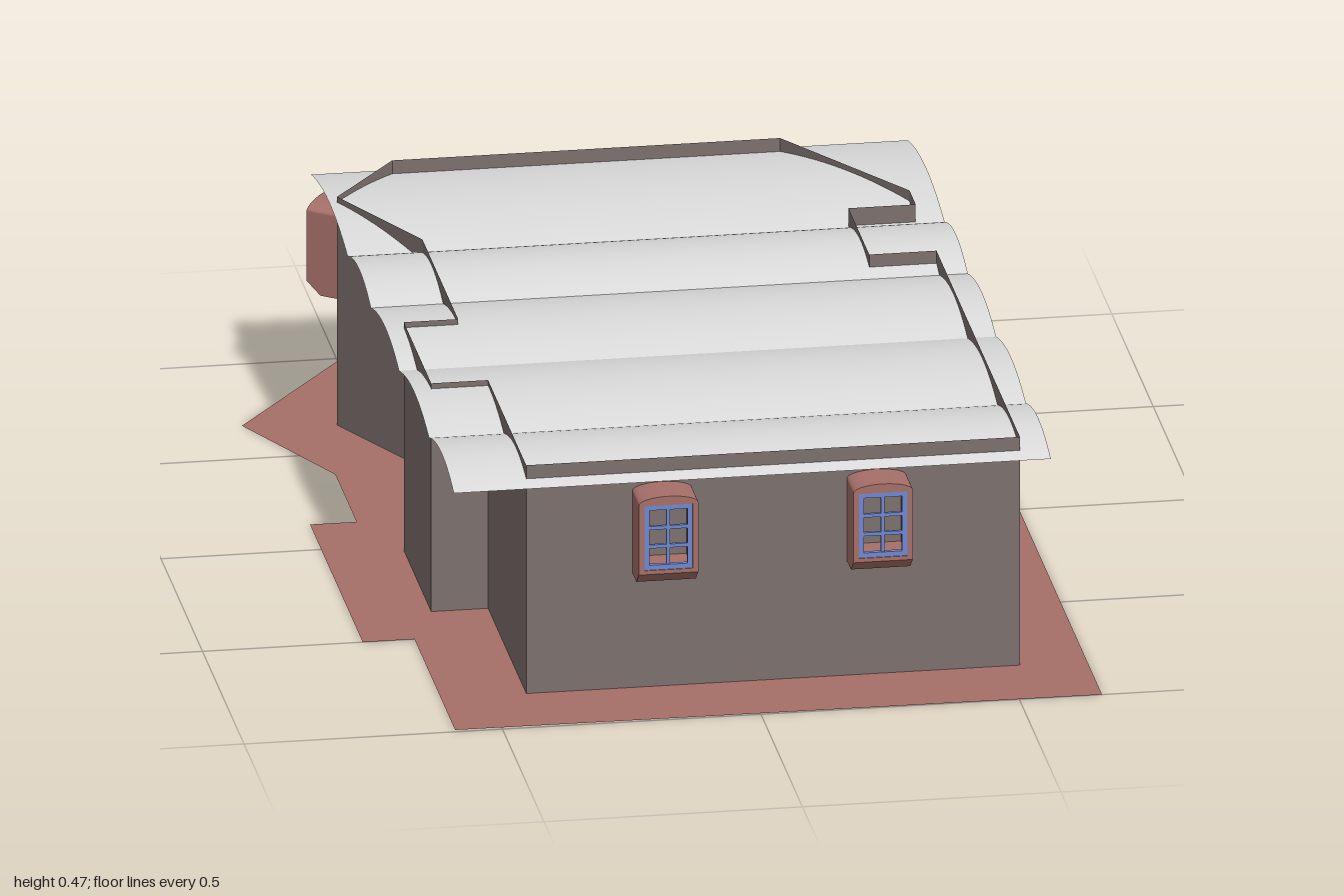
import * as THREE from 'three';

const flat = (color) => new THREE.MeshStandardMaterial({ color, side: THREE.DoubleSide });

export function createModel() {
  const root = new THREE.Group();
  root.name = 'vaultedHouse';

  const wallMat = flat(0x7d716e); wallMat.name = 'grey brown plaster';
  const brickMat = flat(0xa66f68); brickMat.name = 'brick red';
  const roofMat = flat(0xdadada); roofMat.name = 'pale roof';
  const doorMat = flat(0x70502f); doorMat.name = 'brown wood';
  const blueMat = flat(0x7088d0); blueMat.name = 'blue window frame';

  const add = (parent, name, geometry, material, x = 0, y = 0, z = 0) => {
    const mesh = new THREE.Mesh(geometry, material);
    mesh.name = name;
    mesh.position.set(x, y, z);
    parent.add(mesh);
    return mesh;
  };
  const polygon = (pts) => new THREE.Shape(pts.map(([x, y]) => new THREE.Vector2(x, y)));
  const extrude = (shape, depth) =>
    new THREE.ExtrudeGeometry(shape, { depth, bevelEnabled: false, curveSegments: 16 });

  // Upright outline with a curved top
  const archShape = (width, bottom, spring, top) => {
    const s = new THREE.Shape();
    s.moveTo(-width / 2, bottom);
    s.lineTo(width / 2, bottom);
    s.lineTo(width / 2, spring);
    s.absellipse(0, spring, width / 2, top - spring, 0, Math.PI, false, 0);
    s.closePath();
    return s;
  };

  // Group on a wall whose local +z points along the outward normal
  const onWall = (name, x, z, nx, nz) => {
    const g = new THREE.Group();
    g.name = name;
    g.position.set(x, 0, z);
    g.rotation.y = Math.atan2(nx, nz);
    root.add(g);
    return g;
  };

  // Ground slab, a flat sheet; shape y becomes -z
  const ground = new THREE.ShapeGeometry(polygon([
    [-0.59, 0.99], [0.66, 1], [0.66, -0.23], [0.53, -0.23], [0.53, -0.42], [0.62, -0.42],
    [0.73, -0.54], [0.43, -1], [-0.49, -1], [-0.735, -0.675], [-0.6, -0.39],
    [-0.6, -0.135], [-0.69, -0.135], [-0.69, 0.5], [-0.59, 0.5],
  ].map(([x, z]) => [x, -z])));
  ground.rotateX(-Math.PI / 2);
  add(root, 'groundSlab', ground, brickMat);

  // Thin walls, one panel for each side of the plan
  const wallHeight = 0.467;
  const plan = [
    [-0.425, 0.82], [0.53, 0.82], [0.53, -0.185], [0.4, -0.185], [0.4, -0.435],
    [0.53, -0.435], [0.53, -0.51], [0.33, -0.825], [-0.42, -0.825], [-0.555, -0.65],
    [-0.43, -0.4], [-0.43, 0.03], [-0.535, 0.03], [-0.535, 0.36], [-0.425, 0.36],
  ];
  const walls = new THREE.Group();
  walls.name = 'walls';
  root.add(walls);
  plan.forEach(([x0, z0], i) => {
    const [x1, z1] = plan[(i + 1) % plan.length];
    const panel = new THREE.PlaneGeometry(Math.hypot(x1 - x0, z1 - z0), wallHeight);
    const wall = add(walls, 'wallPanel', panel, wallMat, (x0 + x1) / 2, wallHeight / 2, (z0 + z1) / 2);
    wall.rotation.y = Math.atan2(-(z1 - z0), x1 - x0);
  });

  // Row of shallow roof vaults
  const roof = new THREE.Group();
  roof.name = 'roof';
  root.add(roof);
  const valleys = [-0.87, -0.43, -0.15, 0.19, 0.55, 0.85];
  for (let i = 0; i < valleys.length - 1; i++) {
    const span = valleys[i + 1] - valleys[i];
    const vault = new THREE.PlaneGeometry(1.155, span, 1, 20);
    vault.rotateX(-Math.PI / 2);
    const p = vault.attributes.position;
    for (let k = 0; k < p.count; k++) {
      const t = (2 * p.getZ(k)) / span;
      p.setY(k, 0.026 * (1 - t * t));
    }
    vault.computeVertexNormals();
    add(roof, 'roofVault', vault, roofMat, 0.0075, 0.43, (valleys[i] + valleys[i + 1]) / 2);
  }

  // Arched doors in projecting surrounds, with a worn patch at the foot
  const addDoor = (x, z, nx, nz) => {
    const g = onWall('door', x, z, nx, nz);
    const arch = archShape(0.16, 0, 0.31, 0.345);
    add(g, 'doorSurround', extrude(arch, 0.05), brickMat);
    add(g, 'doorPanel', extrude(arch, 0.005), doorMat, 0, 0, 0.05);
    const patch = polygon([[-0.045, 0], [0.079, 0], [0.079, 0.062], [0.03, 0.062], [0, 0.05], [-0.03, 0.02]]);
    add(g, 'doorFootPatch', extrude(patch, 0.002), wallMat, 0, 0, 0.055);
  };
  addDoor(0.53, 0.14, 1, 0);
  addDoor(0.416, -0.69, 0.844, -0.536);

  // Projecting window boxes with a sloping sill and a barred blue frame
  const addWindow = (x, z, nx, nz, depth) => {
    const g = onWall('window', x, z, nx, nz);
    const width = 0.115;
    const box = archShape(width, 0.26, 0.402, 0.418);
    box.holes.push(polygon([[-0.047, 0.268], [-0.047, 0.4], [0.047, 0.4], [0.047, 0.268]]));
    add(g, 'windowBox', extrude(box, depth), brickMat);

    const sill = extrude(polygon([[0, 0.235], [depth - 0.03, 0.235], [depth, 0.26], [0, 0.26]]), width);
    sill.rotateY(-Math.PI / 2);
    add(g, 'windowSill', sill, brickMat, width / 2);

    const frame = polygon([[-0.047, 0.268], [0.047, 0.268], [0.047, 0.4], [-0.047, 0.4]]);
    frame.holes.push(polygon([[-0.037, 0.278], [-0.037, 0.39], [0.037, 0.39], [0.037, 0.278]]));
    add(g, 'windowFrame', extrude(frame, 0.009), blueMat, 0, 0, depth - 0.011);
    const barZ = depth - 0.007;
    add(g, 'uprightBar', new THREE.BoxGeometry(0.007, 0.112, 0.006), blueMat, 0, 0.334, barZ);
    for (const y of [0.315, 0.353]) {
      add(g, 'crossBar', new THREE.BoxGeometry(0.074, 0.007, 0.006), blueMat, 0, y, barZ);
    }
  };
  addWindow(-0.1625, 0.82, 0, 1, 0.08);
  addWindow(0.2525, 0.82, 0, 1, 0.08);
  addWindow(-0.4875, -0.7375, -0.79, -0.61, 0.095);

  return root;
}
